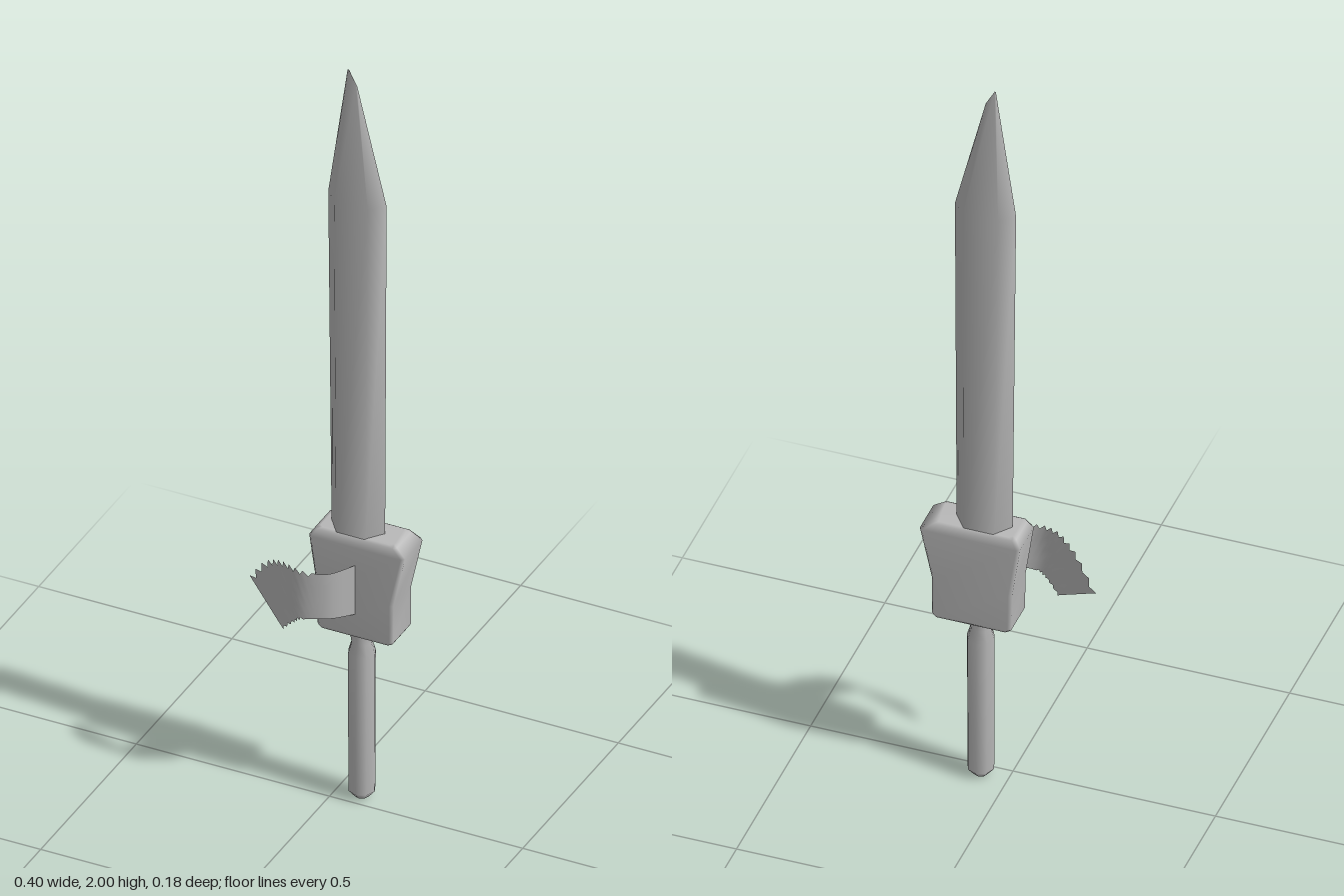
import * as THREE from 'three';

const steel = new THREE.MeshStandardMaterial({ color: 0xb8b8b8 });
steel.name = 'grey';
const cloth = new THREE.MeshStandardMaterial({ color: 0xb8b8b8, side: THREE.DoubleSide });
cloth.name = 'grey cloth';

// Skin a stack of closed rings (counter-clockwise from above), with smooth normals and end caps.
function loft(rings) {
  const n = rings[0].length, index = [];
  for (let r = 0; r < rings.length - 1; r++) {
    for (let i = 0; i < n; i++) {
      const a = r * n + i, b = r * n + (i + 1) % n;
      index.push(a, b, b + n, a, b + n, a + n);
    }
  }
  const top = (rings.length - 1) * n;
  for (let i = 1; i < n - 1; i++) index.push(0, i + 1, i, top, top + i, top + i + 1);
  const g = new THREE.BufferGeometry();
  g.setAttribute('position', new THREE.Float32BufferAttribute(rings.flat(2), 3));
  g.setIndex(index);
  g.computeVertexNormals();
  return g;
}

// Six-sided blade section with sharp left and right edges.
function hexRing(x0, x1, y, zc, hz, inset) {
  return [[x1, y, zc], [x1 - inset, y, zc - hz], [x0 + inset, y, zc - hz],
    [x0, y, zc], [x0 + inset, y, zc + hz], [x1 - inset, y, zc + hz]];
}

// Rectangular section with small cut corners.
function boxRing(x0, x1, y, z0, z1, c = 0.008) {
  return [[x1, y, z1 - c], [x1, y, z0 + c], [x1 - c, y, z0], [x0 + c, y, z0],
    [x0, y, z0 + c], [x0, y, z1 - c], [x0 + c, y, z1], [x1 - c, y, z1]];
}

// Ribbon whose upper and lower edges are curves in the front plane, bowed forward in z.
function ribbonGeometry() {
  const v = (x, y) => new THREE.Vector3(x, y, 0);
  const upper = new THREE.CatmullRomCurve3([v(0.075, 0.67), v(0.02, 0.66), v(-0.04, 0.668),
    v(-0.09, 0.668), v(-0.14, 0.64), v(-0.2, 0.562)]);
  const lower = new THREE.CatmullRomCurve3([v(0.075, 0.535), v(0.03, 0.537), v(0.0, 0.537),
    v(-0.03, 0.53), v(-0.05, 0.515), v(-0.083, 0.482)]);
  const bow = new THREE.SplineCurve([[-0.2, 0.014], [-0.13, 0.05], [-0.08, 0.075], [-0.03, 0.086],
    [0.03, 0.065], [0.075, 0.017]].map(p => new THREE.Vector2(...p)));
  const path = bow.getPoints(100);
  const zAt = x => {
    const k = Math.max(1, path.findIndex(p => p.x >= x - 1e-6));
    const a = path[k - 1], b = path[k];
    return THREE.MathUtils.lerp(a.y, b.y, THREE.MathUtils.clamp((x - a.x) / (b.x - a.x), 0, 1));
  };
  const cols = 28, rows = 4, pos = [], index = [];
  for (let i = 0; i <= cols; i++) {
    const t = i / cols, a = upper.getPoint(t), b = lower.getPoint(t);
    // torn teeth on the long edge
    if (i % 2 && t > 0.25) a.lerp(b, 0.1);
    if (i % 2 && t > 0.6) b.lerp(a, 0.05);
    for (let j = 0; j <= rows; j++) {
      const p = a.clone().lerp(b, j / rows);
      pos.push(p.x, p.y, zAt(p.x));
      if (i < cols && j < rows) {
        const k = i * (rows + 1) + j, m = k + rows + 1;
        index.push(k, m, k + 1, m, m + 1, k + 1);
      }
    }
  }
  const g = new THREE.BufferGeometry();
  g.setAttribute('position', new THREE.Float32BufferAttribute(pos, 3));
  g.setIndex(index);
  g.computeVertexNormals();
  return g;
}

export function createModel() {
  const model = new THREE.Group();
  model.name = 'sword';
  const add = (name, geometry, material) => {
    const mesh = new THREE.Mesh(geometry, material);
    mesh.name = name;
    model.add(mesh);
    return mesh;
  };

  // Blade with an off-centre chisel tip
  const tip = hexRing(0.03, 0.055, 2, -0.034, 0.001, 0.003);
  for (const p of tip) if (p[0] > 0.04) p[1] = 1.96;
  add('blade', loft([
    hexRing(-0.012, 0.126, 0.7, -0.036, 0.042, 0.032),
    hexRing(-0.02, 0.131, 1.65, -0.034, 0.034, 0.032),
    tip,
  ]), steel);

  // Flared guard block
  const z0 = -0.09, z1 = 0.017;
  add('guard', loft([
    boxRing(-0.02, 0.165, 0.47, z0 + 0.004, z1 - 0.004),
    boxRing(-0.026, 0.17, 0.478, z0, z1),
    boxRing(-0.028, 0.17, 0.58, z0, z1),
    boxRing(-0.048, 0.2, 0.718, z0, z1),
    boxRing(-0.035, 0.175, 0.738, z0 + 0.008, z1 - 0.008),
    boxRing(-0.025, 0.165, 0.742, z0 + 0.014, z1 - 0.014),
  ]), steel);

  // Grip with a pinched neck and a blunt end
  const profile = [[0, 0], [0.018, 0.004], [0.033, 0.022], [0.034, 0.4], [0.025, 0.43], [0.032, 0.48]];
  const grip = add('grip', new THREE.LatheGeometry(profile.map(p => new THREE.Vector2(...p)), 8), steel);
  grip.position.set(0.067, 0, -0.034);

  // Torn cloth ribbon hanging from the guard's front
  add('ribbon', ribbonGeometry(), cloth);
  return model;
}
